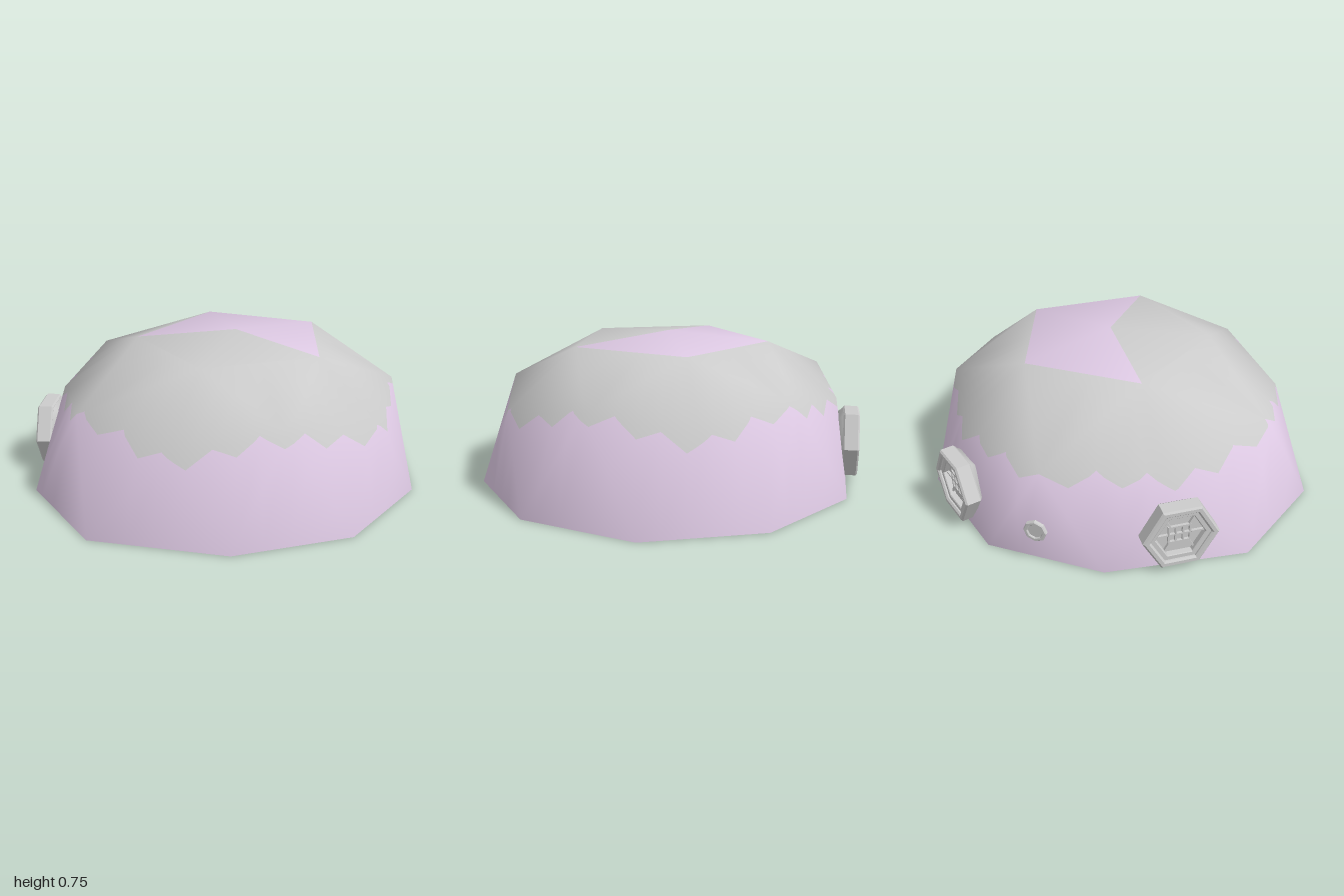
import * as THREE from 'three';

const CX = 0.04, CZ = -0.06; // dome axis
const grey = new THREE.MeshStandardMaterial({ color: 0xcccccc, side: THREE.DoubleSide });
const pink = new THREE.MeshStandardMaterial({ color: 0xdcc8e2, side: THREE.DoubleSide });
const rad = THREE.MathUtils.degToRad;

function add(parent, name, geometry, material = grey) {
  const mesh = new THREE.Mesh(geometry, material);
  mesh.name = name;
  parent.add(mesh);
  return mesh;
}

// Dome net: flattened half geodesic sphere, pushed out a little on a few corners
function domeNet() {
  const ring = (count, step, start, r, y, moved = {}) => Array.from({ length: count }, (_, k) => {
    const a = rad(start + k * step);
    const [x, z] = moved[k] ?? [CX + r * Math.cos(a), CZ + r * Math.sin(a)];
    return { p: new THREE.Vector3(x, y, z), n: new THREE.Vector3() };
  });
  const top = { p: new THREE.Vector3(CX, 0.745, CZ), n: new THREE.Vector3() };
  const R = ring(5, 72, 0, 0.5, 0.7);
  const I = ring(5, 72, 0, 0.846, 0.423, { 1: [0.3, 0.76], 2: [-0.68, 0.47] });
  const M = ring(5, 72, 36, 0.805, 0.497, { 1: [-0.21, 0.82], 2: [-0.9, -0.06] });
  const B = ring(10, 36, 18, 0.946, 0,
    { 2: [0, 1], 3: [-0.55, 0.82], 4: [-0.89, 0.23], 5: [-0.89, -0.35], 7: [0.04, -1] });
  const cap = [], wall = [];
  for (let k = 0; k < 5; k++) {
    const j = (k + 1) % 5, b = B[2 * k], c = B[2 * k + 1], before = B[(2 * k + 9) % 10];
    cap.push([top, R[k], R[j]]);
    wall.push([R[k], M[k], R[j]], [R[k], I[k], M[k]], [R[j], M[k], I[j]],
      [I[k], b, M[k]], [M[k], b, c], [M[k], c, I[j]], [I[k], before, b]);
  }
  // Face outward and gather smooth normals
  for (const t of [...cap, ...wall]) {
    const normal = () => t[1].p.clone().sub(t[0].p).cross(t[2].p.clone().sub(t[0].p));
    const out = t[0].p.clone().add(t[1].p).add(t[2].p).divideScalar(3).sub(new THREE.Vector3(CX, 0, CZ));
    if (normal().dot(out) < 0) t.reverse();
    const n = normal();
    t.forEach((v) => v.n.add(n));
  }
  new Set([...cap, ...wall].flat()).forEach((v) => v.n.normalize());
  return { cap, wall };
}

// Keep the part of a polygon on the positive side of a plane through the centre
function clip(poly, centre, normal) {
  const out = [];
  poly.forEach((a, i) => {
    const b = poly[(i + 1) % poly.length];
    const da = a.p.clone().sub(centre).dot(normal), db = b.p.clone().sub(centre).dot(normal);
    if (da >= 0) out.push(a);
    if (da * db < 0) {
      const t = da / (da - db);
      out.push({ p: a.p.clone().lerp(b.p, t), n: a.n.clone().lerp(b.n, t) });
    }
  });
  return out;
}

function polygonsToGeometry(polys) {
  const pos = [], nor = [];
  for (const poly of polys) {
    for (let i = 1; i + 1 < poly.length; i++) {
      for (const v of [poly[0], poly[i], poly[i + 1]]) {
        pos.push(...v.p.toArray());
        nor.push(...v.n.clone().normalize().toArray());
      }
    }
  }
  const g = new THREE.BufferGeometry();
  g.setAttribute('position', new THREE.Float32BufferAttribute(pos, 3));
  g.setAttribute('normal', new THREE.Float32BufferAttribute(nor, 3));
  return g;
}

// Dome shell split by a zigzag line into a pink wall and a grey roof
function buildDome(group) {
  const { cap, wall } = domeNet();
  const lower = [], upper = cap.slice(0, 2), patch = cap.slice(2);
  const teeth = 48, centre = new THREE.Vector3(CX, 0.4, CZ);
  const spoke = (i) => {
    const k = i % teeth, a = (k / teeth) * Math.PI * 2;
    const h = 0.035 + 0.03 * Math.cos(5 * (a - rad(36))) + (k % 2 ? -1 : 1) * (0.033 + 0.015 * Math.sin(k * 2.3));
    return new THREE.Vector3(0.84 * Math.cos(a), h, 0.84 * Math.sin(a));
  };
  for (let i = 0; i < teeth; i++) {
    const s = spoke(i), e = spoke(i + 1);
    const from = new THREE.Vector3(-s.z, 0, s.x), to = new THREE.Vector3(e.z, 0, -e.x);
    const up = e.clone().cross(s);
    const down = up.clone().negate();
    for (const t of wall) {
      const wedge = clip(clip(t, centre, from), centre, to);
      if (wedge.length < 3) continue;
      upper.push(clip(wedge, centre, up));
      lower.push(clip(wedge, centre, down));
    }
  }
  add(group, 'roofShell', polygonsToGeometry(upper));
  add(group, 'wallShell', polygonsToGeometry(lower), pink);
  add(group, 'roofPatch', polygonsToGeometry(patch), pink);
}

// Regular prism or frame facing +z, its front at zFront
function prism(sides, r, hole, depth, zFront, bevel = 0) {
  const corners = (q) => Array.from({ length: sides }, (_, k) => {
    const a = (k / sides) * Math.PI * 2;
    return new THREE.Vector2(q * Math.cos(a), q * Math.sin(a));
  });
  const shape = new THREE.Shape(corners(r - bevel));
  if (hole) shape.holes.push(new THREE.Path(corners(hole + bevel)));
  return new THREE.ExtrudeGeometry(shape, {
    depth: depth - 2 * bevel, bevelEnabled: bevel > 0, bevelThickness: bevel, bevelSize: bevel, bevelSegments: 1,
  }).translate(0, 0, zFront - depth + bevel);
}

// Six-sided hatch: stepped frame, recessed pane, lattice and domed back
function buildHatch(name, x, z, nx, nz) {
  const hatch = new THREE.Group();
  hatch.name = name;
  add(hatch, 'outerFrame', prism(6, 0.18, 0.145, 0.08, 0, 0.008));
  add(hatch, 'innerFrame', prism(6, 0.15, 0.118, 0.05, -0.015, 0.004));
  add(hatch, 'pane', prism(6, 0.15, 0, 0.02, -0.045));
  const profile = [[0, -0.14], [0.09, -0.13], [0.15, -0.105], [0.178, -0.07]];
  const back = new THREE.LatheGeometry(profile.map(([r, y]) => new THREE.Vector2(r, y)), 6, Math.PI / 2);
  add(hatch, 'domedBack', back.rotateX(Math.PI / 2));
  // Lattice: a square in the middle with bars out to the frame
  const bar = (w, h, bx, by, turn = 0) => {
    const m = add(hatch, 'latticeBar', new THREE.BoxGeometry(w, h, 0.016));
    m.position.set(bx, by, -0.04);
    m.rotation.z = turn;
  };
  for (const s of [-1, 1]) {
    bar(0.11, 0.008, 0, s * 0.042);
    bar(0.008, 0.092, s * 0.05, 0);
    bar(0.008, 0.092, s * 0.017, 0);
    bar(0.06, 0.008, s * 0.085, 0);
    for (const t of [-1, 1]) bar(0.05, 0.008, s * 0.058, t * 0.068, s * t * rad(60));
  }
  bar(0.1, 0.008, 0, 0);
  hatch.position.set(x, 0.195, z);
  hatch.rotation.y = Math.atan2(nx, nz);
  return hatch;
}

// Small eight-sided port beside the wall
function buildPort() {
  const port = new THREE.Group();
  port.name = 'smallPort';
  add(port, 'portRing', prism(8, 0.056, 0.036, 0.022, 0, 0.004));
  add(port, 'portPane', prism(8, 0.04, 0, 0.01, -0.008));
  port.position.set(-0.942, 0.195, -0.08);
  port.rotation.y = -Math.PI / 2;
  return port;
}

export function createModel() {
  const model = new THREE.Group();
  model.name = 'dome';
  buildDome(model);
  model.add(buildHatch('frontHatch', -0.77, 0.555, -0.82, 0.57));
  model.add(buildHatch('backHatch', -0.765, -0.595, -0.79, -0.61));
  model.add(buildPort());
  return model;
}
